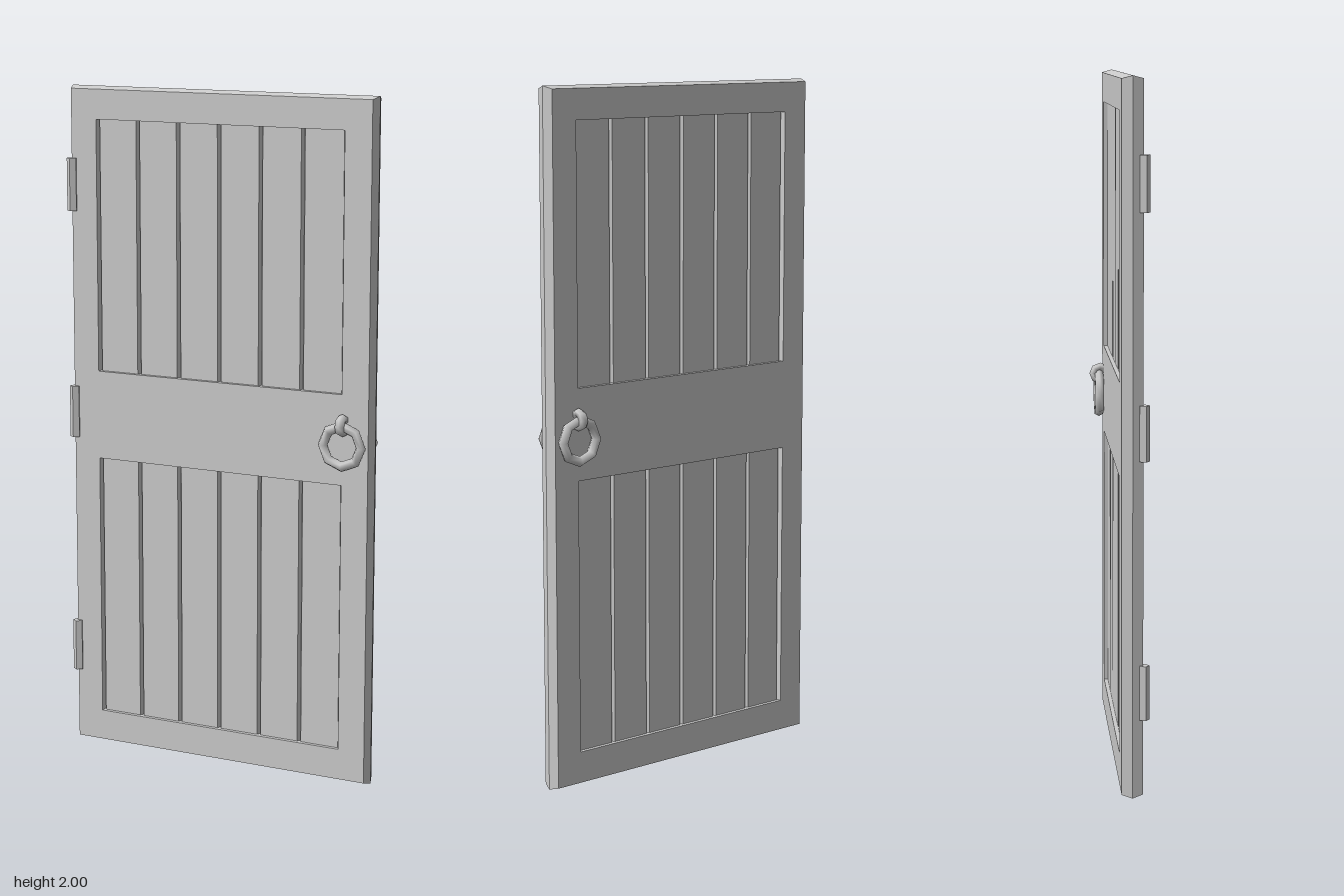
import * as THREE from 'three';

const material = new THREE.MeshStandardMaterial({ color: 0xcccccc });
const flatMaterial = new THREE.MeshStandardMaterial({ color: 0xcccccc, flatShading: true });

const W = 0.475, BOTTOM = 0.008, TOP = 1.992, HALF = 0.03; // frame face and half thickness
const PANEL_X = 0.393;
const PANELS = [['lower', 0.1, 0.895], ['upper', 1.16, 1.905]];

function add(parent, name, geometry, mat, x = 0, y = 0, z = 0) {
  const mesh = new THREE.Mesh(geometry, mat);
  mesh.name = name;
  mesh.position.set(x, y, z);
  parent.add(mesh);
  return mesh;
}

function rectangle(Type, x, y0, y1) {
  return new Type([[-x, y0], [x, y0], [x, y1], [-x, y1]].map(p => new THREE.Vector2(...p)));
}

// Frame with two openings; its outer edge is drawn out to a ridge at mid thickness
function frameGeometry() {
  const shape = rectangle(THREE.Shape, W, BOTTOM, TOP);
  for (const [, y0, y1] of PANELS) shape.holes.push(rectangle(THREE.Path, PANEL_X, y0, y1));
  const geometry = new THREE.ExtrudeGeometry(shape, { depth: 2 * HALF, steps: 2, bevelEnabled: false });
  geometry.translate(0, 0, -HALF);
  const p = geometry.attributes.position;
  for (let i = 0; i < p.count; i++) {
    if (Math.abs(p.getZ(i)) > 0.001 || Math.abs(p.getX(i)) < W - 0.001) continue;
    p.setX(i, Math.sign(p.getX(i)) * 0.485);
    p.setY(i, p.getY(i) > 1 ? 2 : 0);
  }
  geometry.computeVertexNormals();
  return geometry;
}

// Six upright planks as one section, with V grooves on both faces
function planksGeometry(height) {
  const count = 6, pitch = 2 * PANEL_X / count, groove = 0.006, face = 0.018, valley = 0.007;
  const front = [];
  for (let i = 0; i < count; i++) {
    const x = -PANEL_X + i * pitch;
    front.push([x, valley], [x + groove, face], [x + pitch - groove, face]);
  }
  front.push([PANEL_X, valley]);
  const back = front.map(([x, z]) => [x, -z]).reverse();
  const shape = new THREE.Shape([...front, ...back].map(p => new THREE.Vector2(...p)));
  const geometry = new THREE.ExtrudeGeometry(shape, { depth: height, bevelEnabled: false });
  return geometry.rotateX(-Math.PI / 2);
}

// Ring pull hanging from a small eye
function ringPull(name) {
  const pull = new THREE.Group();
  pull.name = name;
  add(pull, 'ring', new THREE.TorusGeometry(0.059, 0.015, 6, 8), material, 0.4, 1.013, 0.045);
  const eye = add(pull, 'ringEye', new THREE.TorusGeometry(0.021, 0.012, 6, 8), material, 0.4, 1.073, 0.041);
  eye.rotation.y = Math.PI / 2;
  eye.scale.z = 1.2;
  return pull;
}

export function createModel() {
  const door = new THREE.Group();
  door.name = 'door';

  add(door, 'frame', frameGeometry(), flatMaterial);
  for (const [name, y0, y1] of PANELS) {
    add(door, name + 'Planks', planksGeometry(y1 - y0), flatMaterial, 0, y0, 0);
  }

  // Hinge knuckles on the right edge
  for (const y of [0.302, 1.032, 1.712]) {
    add(door, 'hinge', new THREE.CylinderGeometry(0.016, 0.016, 0.155, 5), flatMaterial, -0.473, y, 0.032);
  }

  // A ring pull on each face
  const backPull = ringPull('backRingPull');
  backPull.rotation.y = Math.PI;
  backPull.position.x = 0.8;
  door.add(ringPull('frontRingPull'), backPull);

  return door;
}
